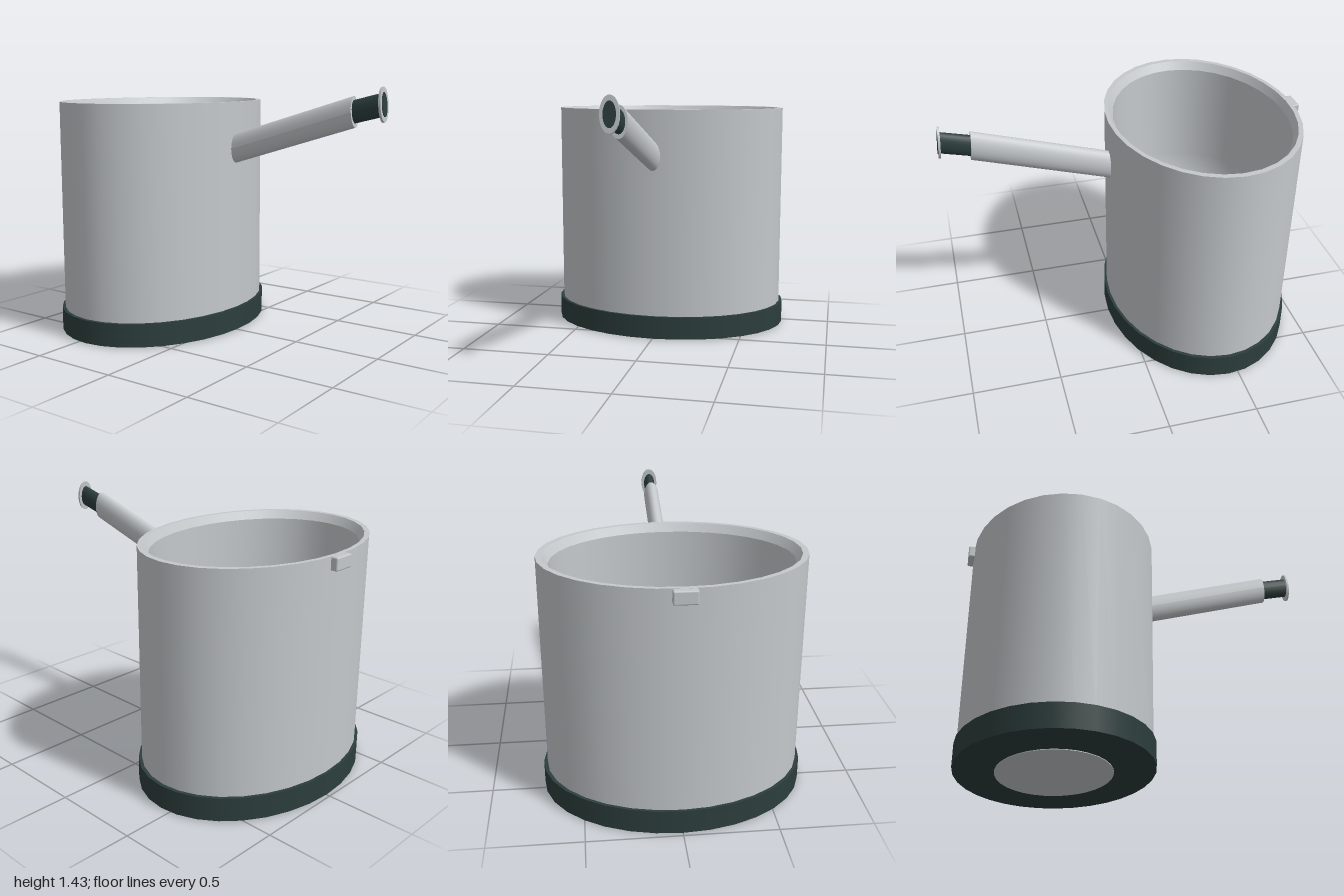
import * as THREE from 'three';
import { mergeGeometries } from 'three/addons/utils/BufferGeometryUtils.js';
import { RoundedBoxGeometry } from 'three/addons/geometries/RoundedBoxGeometry.js';

const CENTRE_X = -0.44; // middle of the oval vessel
const OVAL = 0.76; // width to depth ratio of the oval

const steel = new THREE.MeshStandardMaterial({ name: 'brushed steel', color: 0xc4c8cb });
const dark = new THREE.MeshStandardMaterial({ name: 'dark green plastic', color: 0x2c3e3c });

function add(group, name, geometry, material) {
  const mesh = new THREE.Mesh(geometry, material);
  mesh.name = name;
  group.add(mesh);
  return mesh;
}

// Oval turned form; each run of [radius, y] points is smooth, with a crease between runs
function ovalLathe(runs) {
  const parts = runs.map((run) =>
    new THREE.LatheGeometry(run.map(([r, y]) => new THREE.Vector2(r, y)), 32));
  const geometry = mergeGeometries(parts);
  geometry.scale(OVAL, 1, 1);
  geometry.translate(CENTRE_X, 0, 0);
  return geometry;
}

// Oval rod along x from x0 to x1, whose centre line climbs from y0 to y1
function rod(x0, x1, y0, y1, halfHeight, halfDepth) {
  const geometry = new THREE.CylinderGeometry(1, 1, 1, 24);
  geometry.rotateZ(-Math.PI / 2);
  const p = geometry.attributes.position;
  for (let i = 0; i < p.count; i++) {
    const t = p.getX(i) + 0.5;
    const up = p.getY(i);
    p.setXYZ(i, x0 + (x1 - x0) * t - up * 0.006,
      y0 + (y1 - y0) * t + up * halfHeight, p.getZ(i) * halfDepth);
  }
  geometry.computeVertexNormals();
  return geometry;
}

export function createModel() {
  const model = new THREE.Group();
  model.name = 'pot';

  // Vessel: outer wall, flat rim, inner bevel and rounded bowl
  const bowl = [[0.632, 1.29], [0.63, 1.0], [0.63, 0.7]];
  for (let i = 1; i <= 10; i++) {
    const a = (i / 10) * Math.PI / 2;
    bowl.push([Math.max(0, 0.63 * Math.cos(a)), 0.7 - 0.58 * Math.sin(a)]);
  }
  add(model, 'vessel', ovalLathe([
    [[0.694, 0.1], [0.694, 1.335]],
    [[0.694, 1.335], [0.662, 1.335]],
    [[0.662, 1.335], [0.632, 1.29]],
    bowl,
  ]), steel);

  // Base: dark oval foot with a steel plate underneath
  add(model, 'base', ovalLathe([
    [[0, 0.004], [0.714, 0.004]],
    [[0.714, 0.004], [0.714, 0.136]],
    [[0.714, 0.136], [0.69, 0.136]],
  ]), dark);
  add(model, 'basePlate', ovalLathe([
    [[0, 0], [0.42, 0]],
    [[0.42, 0], [0.42, 0.004]],
  ]), steel);

  // Handle: grip, narrow neck, end flange and dark end insert
  const handle = new THREE.Group();
  handle.name = 'handle';
  add(handle, 'grip', rod(0.06, 0.83, 1.064, 1.298, 0.082, 0.045), steel);
  add(handle, 'neck', rod(0.81, 0.988, 1.294, 1.338, 0.06, 0.033), dark);
  add(handle, 'flange', rod(0.983, 0.995, 1.337, 1.34, 0.09, 0.049), steel);
  add(handle, 'endInsert', rod(0.99, 0.997, 1.338, 1.34, 0.063, 0.032), dark);
  model.add(handle);

  // Small lug on the side away from the handle
  const lug = add(model, 'lug', new RoundedBoxGeometry(0.05, 0.07, 0.12, 2, 0.008), steel);
  lug.position.set(-0.975, 1.299, 0);

  return model;
}
